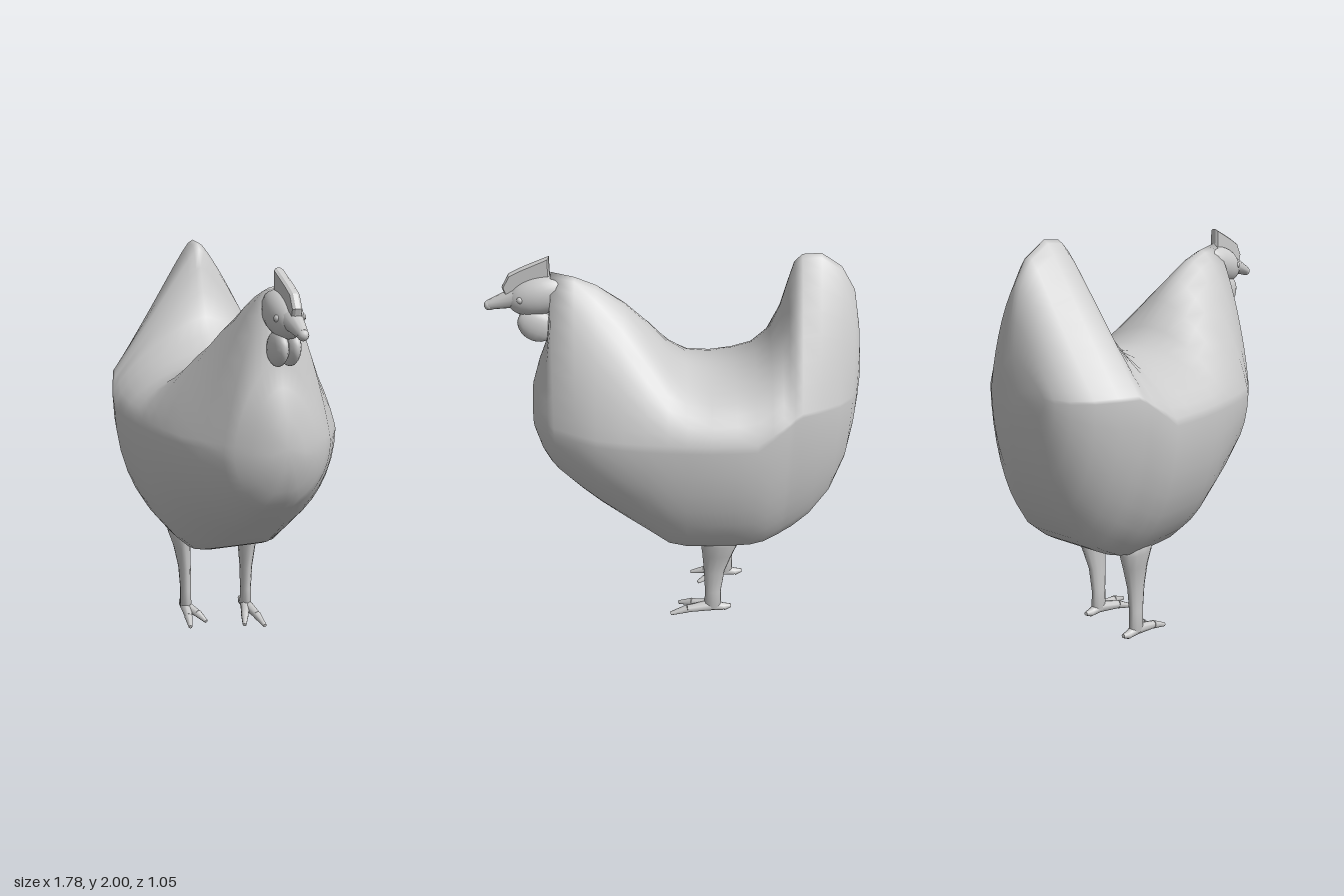
import * as THREE from 'three';
import { mergeVertices } from 'three/addons/utils/BufferGeometryUtils.js';

const material = new THREE.MeshStandardMaterial({ color: 0xcccccc });
const SIDES = 40;
const clamp = THREE.MathUtils.clamp;

function add(parent, name, geometry) {
  const mesh = new THREE.Mesh(geometry, material);
  mesh.name = name;
  parent.add(mesh);
  return mesh;
}

// Skin a list of closed rings (arrays of Vector3), closing both ends to a point
function loft(rings) {
  const centre = (r) => r.reduce((s, p) => s.add(p), new THREE.Vector3()).divideScalar(r.length);
  const cap = (r) => { const c = centre(r); return r.map(() => c); };
  const all = [cap(rings[0]), ...rings, cap(rings[rings.length - 1])];
  const n = rings[0].length, index = [];
  for (let i = 0; i < all.length - 1; i++) {
    for (let j = 0; j < n; j++) {
      const k = (j + 1) % n, a = i * n, b = a + n;
      index.push(a + j, b + j, a + k, a + k, b + j, b + k);
    }
  }
  let geometry = new THREE.BufferGeometry().setFromPoints(all.flat());
  geometry.setIndex(index);
  geometry = mergeVertices(geometry);
  geometry.computeVertexNormals();
  return geometry;
}

// Tapered round piece between two points
function taper(from, to, r0, r1, sides = 8) {
  const a = new THREE.Vector3(...from), b = new THREE.Vector3(...to);
  const dir = b.clone().sub(a);
  const g = new THREE.CylinderGeometry(r1, r0, dir.length(), sides);
  g.applyQuaternion(new THREE.Quaternion().setFromUnitVectors(new THREE.Vector3(0, 1, 0), dir.normalize()));
  return g.translate(...a.add(b).multiplyScalar(0.5).toArray());
}

const power = (v, p) => Math.sign(v) * Math.abs(v) ** p;

// Body stations from tail to breast: position, top, bottom, half width
const stations = [
  [-0.875, 1.50, 1.23, 0.13], [-0.86, 1.66, 1.09, 0.18], [-0.83, 1.82, 0.94, 0.25],
  [-0.76, 1.935, 0.77, 0.33], [-0.66, 2.00, 0.64, 0.39], [-0.57, 1.995, 0.57, 0.43],
  [-0.535, 1.96, 0.55, 0.44], [-0.51, 1.87, 0.535, 0.45], [-0.48, 1.75, 0.52, 0.46],
  [-0.43, 1.615, 0.495, 0.475], [-0.36, 1.525, 0.48, 0.485], [-0.26, 1.47, 0.475, 0.49],
  [-0.15, 1.445, 0.475, 0.49], [-0.03, 1.46, 0.475, 0.48], [0.06, 1.53, 0.495, 0.47],
  [0.16, 1.65, 0.54, 0.455], [0.27, 1.755, 0.62, 0.43], [0.40, 1.845, 0.715, 0.39],
  [0.50, 1.885, 0.79, 0.33], [0.61, 1.91, 0.885, 0.26], [0.645, 1.58, 0.92, 0.22],
  [0.69, 1.47, 0.99, 0.16], [0.73, 1.34, 1.10, 0.08],
];

// Tall stations pinch to a rounded ridge (tail and neck); the belly is flattened
function bodyRing([x, top, bottom, width]) {
  const mid = 1.18 + 0.15 * clamp((-0.36 - x) / 0.2, 0, 1);
  const tall = clamp((top - 1.45) / 0.4, 0, 1);
  const crown = 0.075 * tall;
  const ridge = 1.1 + (x < 0 ? 0.9 : 0.55) * tall;
  const belly = x < 0.1 ? 1.1 : 1.05;
  return Array.from({ length: SIDES }, (_, j) => {
    const a = (j / SIDES) * Math.PI * 2, c = Math.cos(a), s = Math.sin(a);
    const half = s > 0 ? (width - crown) * power(c, ridge) + crown * power(c, 0.8) : width * c;
    const y = s > 0 ? mid + (top - mid) * s ** ridge : mid + (mid - bottom) * Math.max(-1, s * belly);
    return new THREE.Vector3(x, y, half + (0.02 - 0.05 * x) * Math.abs(c) ** (s > 0 ? 4 : 1));
  });
}

function addHead(bird) {
  const head = new THREE.Group();
  head.name = 'head';
  bird.add(head);
  const skull = add(head, 'skull', new THREE.SphereGeometry(1, 20, 14));
  skull.scale.set(0.16, 0.095, 0.08);
  skull.position.set(0.67, 1.795, 0);
  skull.rotation.z = -0.28;

  add(head, 'beak', taper([0.78, 1.785, 0], [0.915, 1.745, 0.005], 0.05, 0.024, 10));
  const tip = add(head, 'beakTip', new THREE.SphereGeometry(0.025, 10, 8));
  tip.position.set(0.915, 1.743, 0.005);

  // Thin blade along the crown
  const blade = new THREE.Shape([[0.615, 1.86], [0.72, 1.8], [0.83, 1.79], [0.845, 1.84], [0.81, 1.9],
    [0.75, 1.93], [0.69, 1.955], [0.615, 1.985]].map((p) => new THREE.Vector2(...p)));
  const comb = new THREE.ExtrudeGeometry(blade, {
    depth: 0.02, bevelEnabled: true, bevelThickness: 0.012, bevelSize: 0.008, bevelOffset: -0.008, bevelSegments: 1,
  });
  add(head, 'comb', comb.translate(0, 0, -0.01));

  for (const side of [1, -1]) {
    const wattle = add(head, 'wattle', new THREE.SphereGeometry(1, 14, 10));
    wattle.scale.set(0.095, 0.08, 0.04);
    wattle.position.set(0.69, 1.65, side * 0.028);
    wattle.rotation.z = 0.45;
    const eye = add(head, 'eye', new THREE.SphereGeometry(0.018, 10, 8));
    eye.position.set(0.755, 1.79, side * 0.055);
  }
}

// Leg rows: height, forward offset, half depth, half thickness, outward offset
const legRows = [
  [0.04, 0, 0.045, 0.03, 0], [0.15, 0, 0.043, 0.028, 0], [0.28, -0.005, 0.055, 0.032, 0.003],
  [0.40, -0.02, 0.08, 0.044, 0.012], [0.48, -0.03, 0.1, 0.06, 0.022], [0.56, -0.03, 0.11, 0.065, 0.02],
];

function addLeg(bird, name, side, x, z, reach) {
  const leg = new THREE.Group();
  leg.name = name;
  leg.position.set(x, 0, z);
  bird.add(leg);
  const rings = legRows.map(([y, dx, depth, thick, out]) => Array.from({ length: 12 }, (_, j) => {
    const a = (j / 12) * Math.PI * 2;
    return new THREE.Vector3(dx - depth * Math.sin(a), y, thick * Math.cos(a) + side * out);
  }));
  add(leg, 'shank', loft(rings));
  // Two toes forward, one back
  for (const [tx, tz] of [[reach, 0.03], [reach * 0.8, -0.07], [-0.1, 0]]) {
    const knuckle = [tx * 0.6, 0.038, side * tz * 0.6];
    add(leg, 'toe', taper([0, 0.05, 0], knuckle, 0.03, 0.02));
    add(leg, 'toeTip', taper(knuckle, [tx, tx > 0 ? 0.014 : 0.045, side * tz], 0.022, 0.01));
  }
}

export function createModel() {
  const model = new THREE.Group();
  model.name = 'hen';
  // The bird is built along x, then turned slightly towards the front
  const bird = new THREE.Group();
  bird.name = 'bird';
  bird.rotation.y = -0.332;
  bird.position.z = 0.026;
  model.add(bird);

  add(bird, 'body', loft(stations.map(bodyRing)));
  addHead(bird);
  addLeg(bird, 'rightLeg', 1, -0.25, 0.185, 0.19);
  addLeg(bird, 'leftLeg', -1, -0.174, -0.137, 0.23);
  return model;
}
